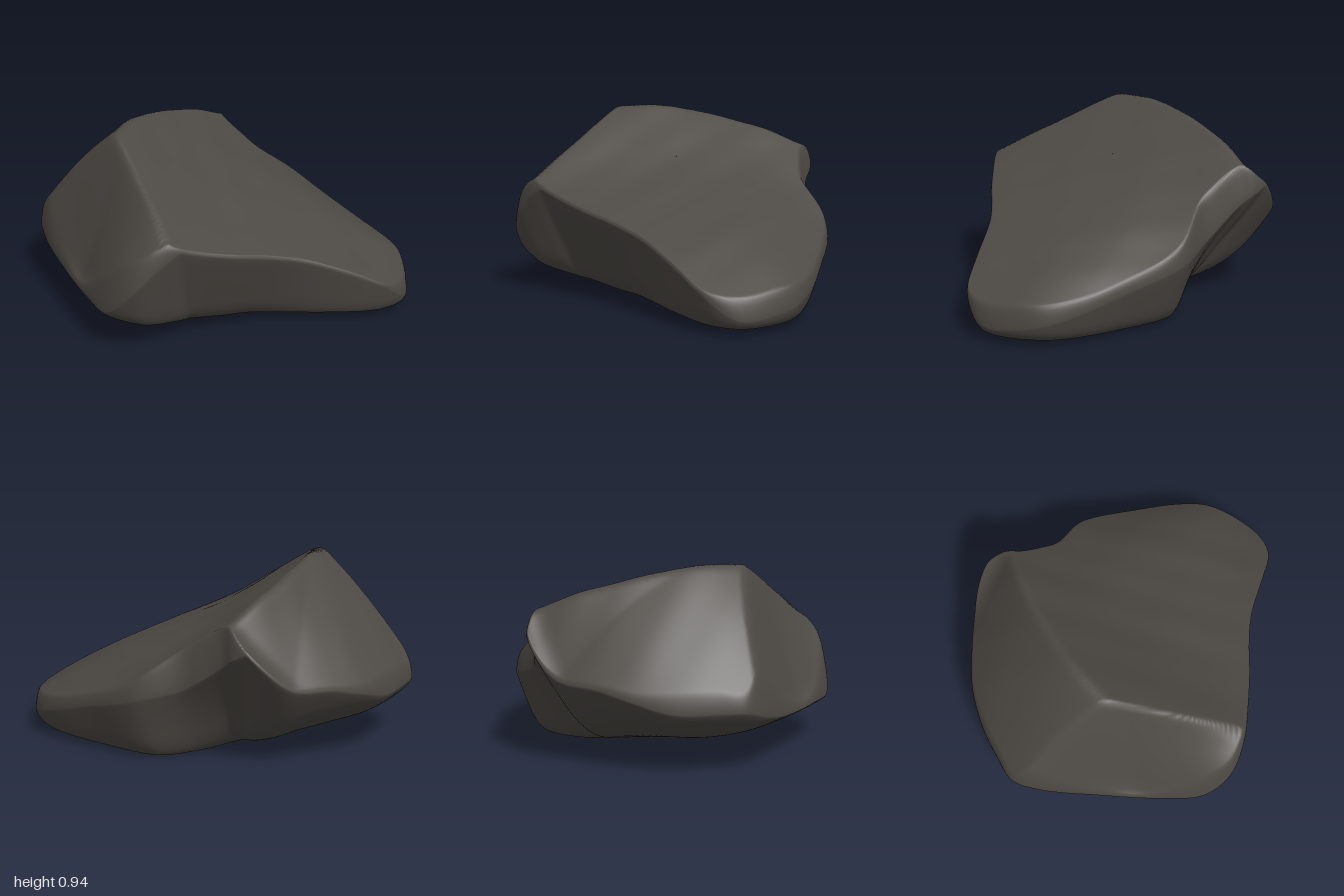
import * as THREE from 'three';
import { mergeVertices } from 'three/addons/utils/BufferGeometryUtils.js';

// Widest outline of the boulder: x, y, z and steepness of the underside there
const RIM = [
  [1, 0.09, 0, 2.5], [0.97, 0.14, 0.1, 2.3], [0.9, 0.22, 0.18, 2.2], [0.75, 0.31, 0.25, 2.1],
  [0.5, 0.42, 0.36, 2.1], [0.35, 0.48, 0.46, 2.1], [0.2, 0.53, 0.58, 2.1], [0, 0.59, 0.72, 2.1],
  [-0.1, 0.53, 0.785, 2.1], [-0.25, 0.38, 0.83, 2.1], [-0.4, 0.24, 0.775, 1.6], [-0.55, 0.23, 0.62, 1.2],
  [-0.75, 0.23, 0.36, 1], [-0.94, 0.28, 0.11, 1], [-1, 0.32, -0.02, 1], [-0.96, 0.32, -0.16, 1],
  [-0.88, 0.32, -0.35, 1], [-0.77, 0.37, -0.51, 1.1], [-0.65, 0.41, -0.62, 1.2], [-0.5, 0.46, -0.74, 1.25],
  [-0.38, 0.56, -0.815, 1.3], [-0.27, 0.63, -0.84, 1.35], [-0.19, 0.6, -0.815, 1.45], [-0.12, 0.54, -0.76, 1.55],
  [0, 0.45, -0.715, 1.75], [0.1, 0.39, -0.69, 2], [0.3, 0.34, -0.705, 2.4], [0.4, 0.31, -0.675, 2.4],
  [0.6, 0.25, -0.56, 2.3], [0.8, 0.18, -0.43, 2.2], [0.93, 0.13, -0.3, 2.2], [0.985, 0.1, -0.15, 2.5],
];
const AROUND = 224, RINGS = 56, CX = -0.1;

// Rounded minimum and maximum, k is the width of the worn edge
function smin(a, b, k) {
  const h = Math.max(k - Math.abs(a - b), 0) / k;
  return Math.min(a, b) - h * h * k * 0.25;
}
const smax = (a, b, k) => -smin(-a, -b, k);
const pos = (v) => smax(v, 0, 0.15);

// Broad sloping face, back left face and steep front left face
function topHeight(x, z) {
  const slope = 0.66 - 0.65 * x + 0.23 * pos(x) - 0.2 * Math.max(0, x - 0.5) ** 2
    - 0.08 * (z + 0.3) ** 2 - 0.6 * pos(-z - 0.3) * pos(x + 0.03);
  const u = -0.47 - x;
  const fall = u > 0 ? 0.8 * u + 0.5 * u * u : 0.98 * u;
  const backLeft = 0.96 - fall + smax(0.25 * z - 0.57 * z * z, -0.53, 0.06);
  const s = -0.79 * x + 0.61 * z, q = 0.61 * x + 0.79 * z;
  const steep = 2.25 - 2.55 * s - 0.41 * q + 3.5 * Math.max(0, s - 0.55) * Math.max(0, q);
  return smin(smin(slope, backLeft, 0.06), smax(steep, 0.25, 0.1), 0.07);
}

// Resting face, lifting to the left, front and back left
function baseHeight(x, z) {
  return 0.01 + 0.13 * pos(z - 0.02) + 0.2 * pos(-x - 0.02) + 0.04 * pos(x - 0.3)
    + 0.4 * pos(-x - 0.05) * pos(-z - 0.2);
}

// Slight weathering, fading at the rim
function weather(x, z) {
  return 0.004 * Math.sin(9 * x + 4 * z) * Math.sin(11 * z - 3 * x + 1) + 0.002 * Math.sin(23 * x - 13 * z);
}

function boulderGeometry() {
  const curve = new THREE.CatmullRomCurve3(
    RIM.map(([x, y, z]) => new THREE.Vector3(x, y, z)), true, 'centripetal');
  const vertices = [], indices = [];

  // Rings from the rim to the middle, once for the top and once for the underside
  for (const upper of [true, false]) {
    const start = vertices.length / 3;
    for (let j = 0; j <= RINGS; j++) {
      const inward = (j / RINGS) ** 1.6;
      for (let i = 0; i < AROUND; i++) {
        const p = curve.getPoint(i / AROUND);
        const at = (i / AROUND) * RIM.length, n = Math.floor(at);
        const steep = THREE.MathUtils.lerp(RIM[n][3], RIM[(n + 1) % RIM.length][3], at - n);
        const rimY = Math.max(Math.min(p.y, topHeight(p.x, p.z) - 0.015), baseHeight(p.x, p.z) + 0.015);
        const d = inward * Math.hypot(p.x - CX, p.z);
        const x = THREE.MathUtils.lerp(p.x, CX, inward), z = p.z * (1 - inward);
        const fade = d / (d + 0.06);
        let y = rimY;
        if (j > 0 && upper) {
          y = smin(topHeight(x, z), rimY + 0.45 * Math.sqrt(d) + 3 * d, 0.05) + weather(x, z) * fade;
        } else if (j > 0) {
          const hollow = 0.08 * Math.exp(-((x + 0.05) ** 2 + (z + 0.56) ** 2) / 0.06);
          const wall = rimY - 0.1 * Math.sqrt(d) - steep * d + hollow * fade;
          y = smax(baseHeight(x, z), wall, 0.05 + 0.12 * fade) + weather(x, z) * fade * 0.5;
        }
        vertices.push(x, y, z);
      }
    }
    for (let j = 0; j < RINGS; j++) {
      for (let i = 0; i < AROUND; i++) {
        const next = (i + 1) % AROUND;
        const a = start + j * AROUND + i, b = start + j * AROUND + next;
        const c = a + AROUND, e = b + AROUND;
        const last = j === RINGS - 1;
        if (upper) {
          indices.push(a, c, b);
          if (!last) indices.push(b, c, e);
        } else {
          indices.push(a, b, c);
          if (!last) indices.push(b, e, c);
        }
      }
    }
  }

  let geometry = new THREE.BufferGeometry();
  geometry.setAttribute('position', new THREE.Float32BufferAttribute(vertices, 3));
  geometry.setIndex(indices);
  geometry = mergeVertices(geometry, 1e-5);
  geometry.computeBoundingBox();
  geometry.translate(0, -geometry.boundingBox.min.y, 0);
  geometry.computeVertexNormals();
  return geometry;
}

export function createModel() {
  const stone = new THREE.MeshStandardMaterial({ color: 0x4d4944 });
  stone.name = 'dark stone';
  const boulder = new THREE.Mesh(boulderGeometry(), stone);
  boulder.name = 'boulder';
  const group = new THREE.Group();
  group.name = 'rock';
  group.add(boulder);
  return group;
}
